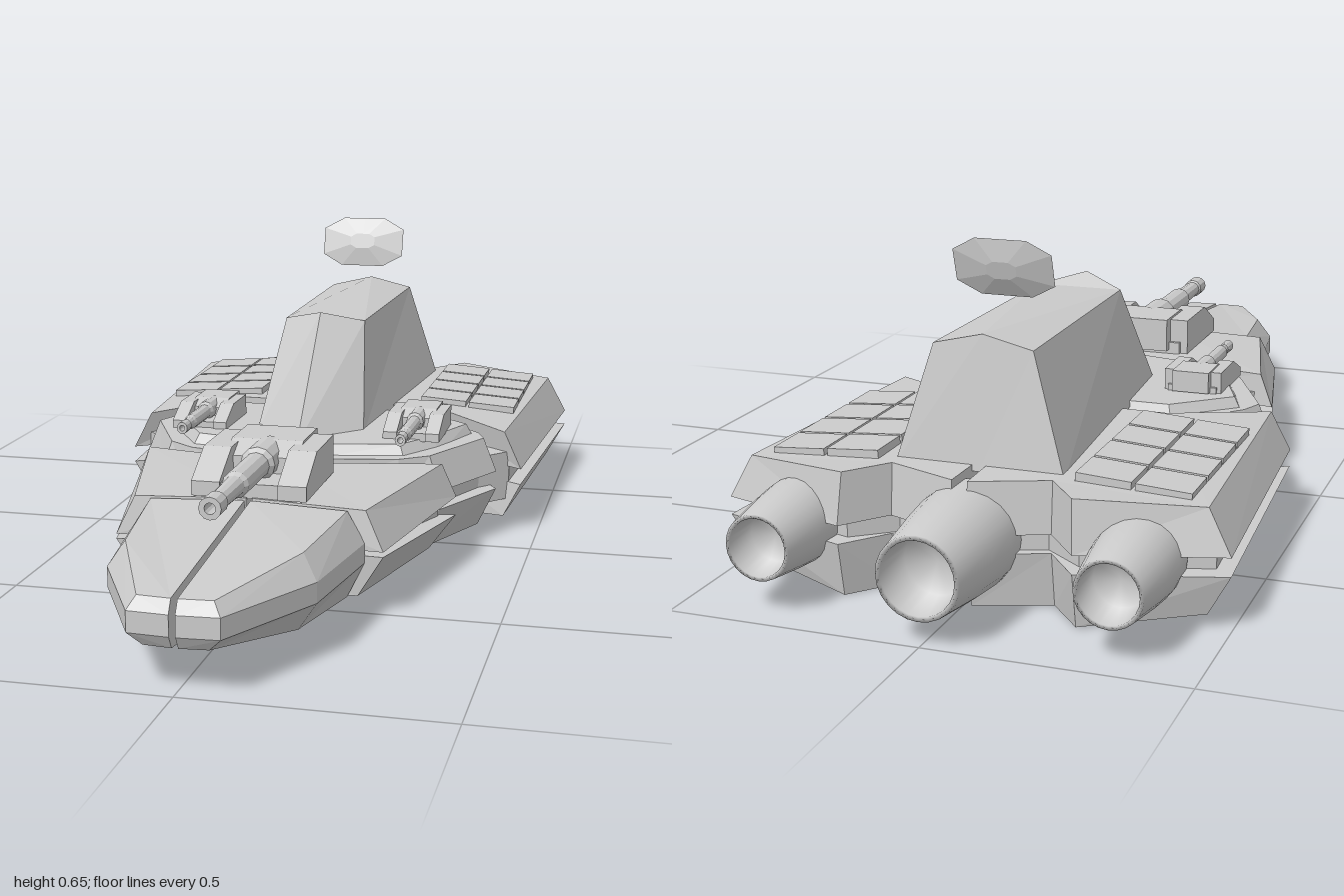
import * as THREE from 'three';

const grey = new THREE.MeshStandardMaterial({ color: 0xcccccc, flatShading: true, side: THREE.DoubleSide });
const smooth = new THREE.MeshStandardMaterial({ color: 0xcccccc, side: THREE.DoubleSide });

function add(parent, name, geometry, material = grey) {
  const mesh = new THREE.Mesh(geometry, material);
  mesh.name = name;
  parent.add(mesh);
  return mesh;
}

// Solid from plan outlines stacked bottom to top.
// Each level is [y, [[x, z, own y if different], ...]]; s = -1 mirrors it.
function stack(levels, s = 1) {
  const rings = levels.map(([y, pts]) => pts.map(([x, z, py]) => new THREE.Vector3(x * s, py ?? y, z)));
  const flat = (ring) => ring.map((p) => new THREE.Vector2(p.x, p.z));
  const out = [];
  const tri = (a, b, c) => out.push(...a, ...b, ...c);
  const n = rings[0].length;
  const cw = THREE.ShapeUtils.area(flat(rings[0])) > 0;
  for (let k = 0; k < rings.length - 1; k++) {
    for (let i = 0; i < n; i++) {
      const j = (i + 1) % n;
      const [a, b, c, d] = [rings[k][i], rings[k][j], rings[k + 1][j], rings[k + 1][i]];
      if (cw) { tri(a, d, c); tri(a, c, b); } else { tri(a, c, d); tri(a, b, c); }
    }
  }
  for (const [ring, up] of [[rings[0], false], [rings[rings.length - 1], true]]) {
    const p2 = flat(ring);
    for (const [i, j, k] of THREE.ShapeUtils.triangulateShape(p2, [])) {
      const facesUp = THREE.ShapeUtils.area([p2[i], p2[j], p2[k]]) < 0;
      if (facesUp === up) tri(ring[i], ring[j], ring[k]); else tri(ring[i], ring[k], ring[j]);
    }
  }
  const g = new THREE.BufferGeometry();
  g.setAttribute('position', new THREE.Float32BufferAttribute(out, 3));
  g.computeVertexNormals();
  return g;
}

// Full symmetric outline from its right-hand half
const both = (half) => [...half, ...half.filter((p) => p[0] > 0).reverse().map(([x, ...r]) => [-x, ...r])];

// Hollow engine nozzle pointing to -z
function nozzle(parent, name, x, zFront, zBack, rFront, rBack) {
  const len = zFront - zBack;
  const profile = [[0, len * 0.35], [rBack * 0.8, len * 0.35], [rBack * 0.88, 0], [rBack, 0],
    [rFront * 0.93, len * 0.45], [rFront, len * 0.75], [rFront, len]];
  const g = new THREE.LatheGeometry(profile.map((p) => new THREE.Vector2(...p)), 24);
  g.rotateX(Math.PI / 2);
  add(parent, name, g, smooth).position.set(x, 0.13, zBack);
}

// Side profile in (z, y), extruded across x
function cheek(profile, x, width) {
  const g = new THREE.ExtrudeGeometry(new THREE.Shape(profile.map(([z, y]) => new THREE.Vector2(-z, y))),
    { depth: width, bevelEnabled: false });
  return g.rotateY(Math.PI / 2).translate(x - width / 2, 0, 0);
}

// Gun turret: origin at the rear of its base
function turret(parent, name, x, y, z, scale, barrelLength) {
  const t = new THREE.Group();
  t.name = name;
  add(t, 'turretBase', new THREE.BoxGeometry(0.2, 0.03, 0.24)).position.set(0, 0.012, 0.14);
  add(t, 'turretHousing', cheek([[0, 0.01], [0, 0.085], [0.12, 0.085], [0.17, 0.06], [0.17, 0.01]], 0, 0.15));
  for (const s of [-1, 1]) {
    add(t, 'turretCheek', cheek([[0.03, 0], [0.03, 0.08], [0.18, 0.08], [0.27, 0.03], [0.27, 0]], s * 0.088, 0.058));
  }
  const tube = [[0.036, 0.1], [0.036, 0.2], [0.027, 0.21], [0.027, 0.36], [0.021, 0.37],
    [0.018, barrelLength - 0.05], [0.022, barrelLength - 0.045], [0.022, barrelLength], [0.011, barrelLength],
    [0.011, barrelLength - 0.06], [0, barrelLength - 0.06]];
  const g = new THREE.LatheGeometry(tube.map((p) => new THREE.Vector2(...p)), 12).rotateX(Math.PI / 2);
  add(t, 'gunBarrel', g).position.y = 0.052;
  t.position.set(x, y, z);
  t.scale.set(...scale);
  parent.add(t);
}

export function createModel() {
  const ship = new THREE.Group();
  ship.name = 'warship';

  // Inner core showing through the waist groove and seams
  const core = [[0, 0.95], [0.07, 0.93], [0.17, 0.75], [0.21, 0.5], [0.32, 0.16], [0.28, 0.12], [0.37, -0.09],
    [0.43, -0.16], [0.465, -0.74], [0.23, -0.81], [0.15, -0.75], [0, -0.8]];
  const coreAt = (tipY) => both(core.map(([x, z]) => (z > 0.9 ? [x, z, tipY] : [x, z])));
  add(ship, 'hullCore', stack([[0.07, coreAt(0.11)], [0.18, coreAt(0.155)]]));

  for (const s of [1, -1]) {
    // Nose
    add(ship, 'nose', stack([
      [0.03, [[0.006, 0.985, 0.085], [0.06, 0.98, 0.085], [0.16, 0.75, 0.05], [0.2, 0.515, 0.038], [0.006, 0.515]]],
      [0.11, [[0.006, 1], [0.085, 0.995], [0.2, 0.77], [0.235, 0.515], [0.006, 0.515]]],
      [0.15, [[0.006, 1], [0.085, 0.995], [0.2, 0.77], [0.235, 0.515], [0.006, 0.515]]],
      [0.22, [[0.006, 0.985, 0.175], [0.07, 0.98, 0.175], [0.17, 0.75, 0.198], [0.2, 0.515, 0.212], [0.006, 0.515]]],
    ], s));

    // Forward hull, upper and lower shells
    add(ship, 'forwardHullUpper', stack([
      [0.15, [[0.006, 0.215], [0.355, 0.14], [0.272, 0.52, 0.135], [0.006, 0.505, 0.135]]],
      [0.222, [[0.006, 0.215], [0.325, 0.15], [0.235, 0.51, 0.214], [0.006, 0.505]]],
    ], s));
    add(ship, 'forwardHullLower', stack([
      [0.025, [[0.006, 0.215], [0.3, 0.15, 0.035], [0.22, 0.51, 0.04], [0.006, 0.505, 0.03]]],
      [0.11, [[0.006, 0.215], [0.355, 0.14], [0.272, 0.52, 0.125], [0.006, 0.505, 0.125]]],
    ], s));

    // Middle hull
    const middle = [[0.006, 0.195], [0.24, 0.15], [0.315, 0.11], [0.41, -0.09], [0.38, -0.14], [0.24, -0.265], [0.006, -0.265]];
    add(ship, 'middleHullUpper', stack([
      [0.15, middle],
      [0.225, [[0.006, 0.195], [0.23, 0.145], [0.29, 0.1], [0.38, -0.09], [0.36, -0.14], [0.24, -0.265], [0.006, -0.265]]],
    ], s));
    add(ship, 'middleHullLower', stack([
      [0.008, [[0.006, 0.195], [0.22, 0.15], [0.28, 0.1, 0.02], [0.37, -0.09, 0.025], [0.35, -0.14, 0.02], [0.24, -0.265], [0.006, -0.265]]],
      [0.11, middle],
    ], s));
    add(ship, 'shoulderPlate', stack([
      [0.21, [[0, 0.17], [0.24, 0.12], [0.3, 0.02], [0.355, -0.13], [0.23, -0.24], [0, -0.24]]],
      [0.247, [[0, 0.15], [0.225, 0.1], [0.28, 0.01], [0.335, -0.125], [0.22, -0.225], [0, -0.225]]],
    ], s));

    // Rear hull with notched stern
    const rear = [[0.015, -0.82], [0.16, -0.765], [0.23, -0.85], [0.5, -0.77], [0.46, -0.135], [0.235, -0.285], [0.006, -0.28]];
    add(ship, 'rearHullUpper', stack([
      [0.146, rear],
      [0.247, [[0.015, -0.81], [0.16, -0.755], [0.225, -0.835], [0.455, -0.76, 0.232], [0.42, -0.145, 0.228], [0.235, -0.285], [0.006, -0.28]]],
    ], s));
    add(ship, 'rearHullLower', stack([
      [0.002, [[0.015, -0.8], [0.16, -0.75], [0.23, -0.83], [0.455, -0.76, 0.03], [0.42, -0.15, 0.03], [0.235, -0.285], [0.006, -0.28]]],
      [0.11, rear],
    ], s));

    // Deck hatches, two columns of four
    for (let col = 0; col < 2; col++) {
      for (let row = 0; row < 4; row++) {
        const hatch = add(ship, 'deckHatch', new THREE.BoxGeometry(0.107, 0.026, 0.097));
        hatch.position.set(s * (0.25 + col * 0.114), 0.245 - col * 0.009, -0.375 - row * 0.105);
        hatch.rotation.z = -s * 0.07;
      }
    }

    nozzle(ship, 'sideEngine', s * 0.335, -0.76, -0.96, 0.082, 0.064);
    turret(ship, 'sideTurret', s * 0.24, 0.244, -0.135, [0.53, 0.6, 0.7], 0.45);
  }

  nozzle(ship, 'mainEngine', 0, -0.75, -1, 0.102, 0.08);
  turret(ship, 'mainTurret', 0, 0.222, 0.24, [1, 1, 1], 0.53);

  // Command tower
  add(ship, 'commandTower', stack([
    [0.235, both([[0, 0.12], [0.122, -0.01], [0.17, -0.72], [0, -0.72]])],
    [0.468, both([[0, -0.11, 0.492], [0.092, -0.16], [0.1, -0.69], [0, -0.69, 0.492]])],
  ]));

  // Floating eight-sided sensor dish, a lens leaning back
  const rim = both([[0, 0.06], [0.052, 0.06], [0.1, 0.033], [0.1, -0.033], [0.052, -0.06], [0, -0.06]]);
  const inner = (k) => rim.map(([x, z]) => [x * k, z * k]);
  const dish = add(ship, 'sensorDish', stack([[-0.013, inner(0.3)], [0, rim], [0.013, inner(0.3)]]));
  dish.position.set(0, 0.595, -0.583);
  dish.rotation.x = -Math.PI / 2 - 0.29;

  return ship;
}
